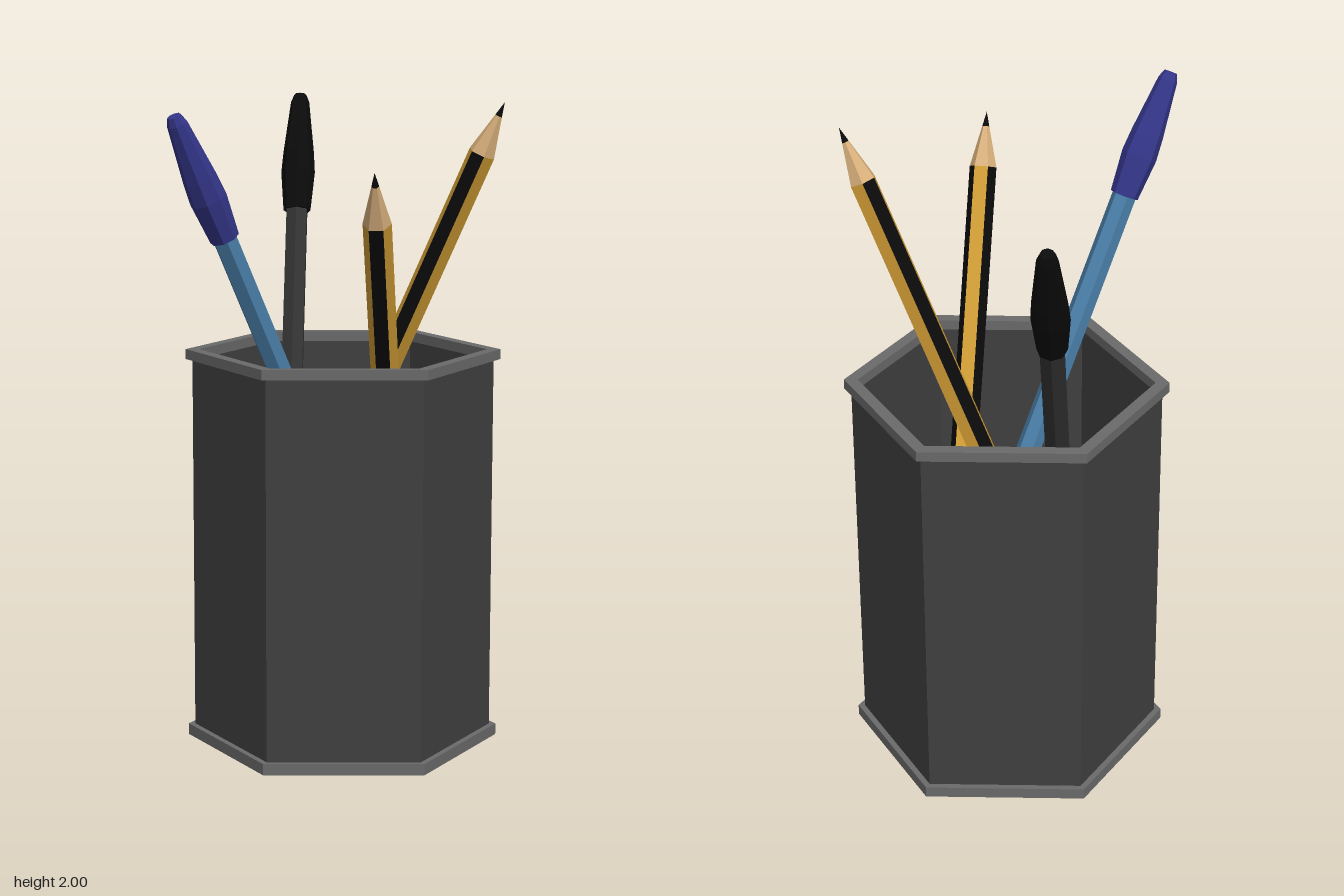
import * as THREE from 'three';

const mat = (name, color) => {
  const m = new THREE.MeshStandardMaterial({ color, flatShading: true });
  m.name = name;
  return m;
};
const V = (x, y, z) => new THREE.Vector3(x, y, z);

export function createModel() {
  const cupGrey = mat('cup grey', 0x404040);
  const rimGrey = mat('rim grey', 0x6a6a6a);
  const gold = mat('pencil gold', 0xd49f36);
  const black = mat('black', 0x0b0b0b);
  const wood = mat('bare wood', 0xd8b07c);
  const paleBlue = mat('pen blue', 0x4a7fa8);
  const darkBlue = mat('cap blue', 0x34368a);
  const charcoal = mat('pen charcoal', 0x333333);

  const model = new THREE.Group();
  model.name = 'penHolder';

  const add = (parent, name, geometry, material, y = 0) => {
    const mesh = new THREE.Mesh(geometry, material);
    mesh.name = name;
    mesh.position.y = y;
    parent.add(mesh);
  };
  const lathe = (points, sides, start) =>
    new THREE.LatheGeometry(points.map(([r, y]) => new THREE.Vector2(r, y)), sides, start);

  // Hexagonal cup, slightly turned about its own axis
  const cup = new THREE.Group();
  cup.name = 'cup';
  cup.position.set(0.026, 0, -0.153);
  const turn = THREE.MathUtils.degToRad(5.6);
  const hex = (points) => lathe(points, 6, turn);
  add(cup, 'cupBody', hex([[0.466, 0.03], [0.466, 1.215], [0.446, 1.215], [0.446, 0.045], [0, 0.045]]), cupGrey);
  add(cup, 'basePlate', hex([[0, 0], [0.487, 0], [0.487, 0.035], [0, 0.035]]), rimGrey);
  add(cup, 'topRim', hex([[0.445, 1.205], [0.487, 1.205], [0.487, 1.236], [0.445, 1.236], [0.445, 1.205]]), rimGrey);
  model.add(cup);

  // Group whose y axis runs from base to tip; +z faces upward before the roll
  function leaning(name, base, tip, roll) {
    const group = new THREE.Group();
    group.name = name;
    const y = tip.clone().sub(base).normalize();
    const z = V(0, 1, 0).addScaledVector(y, -y.y).normalize();
    const x = y.clone().cross(z);
    group.quaternion.setFromRotationMatrix(new THREE.Matrix4().makeBasis(x, y, z));
    group.rotateY(roll);
    group.position.copy(base);
    model.add(group);
    return { group, length: tip.distanceTo(base) };
  }

  // Striped hexagonal pencil with a sharpened end
  function pencil(name, base, tip, roll) {
    const { group, length } = leaning(name, base, tip, roll);
    const r = 0.042, wr = 0.011, start = -Math.PI / 6;
    const woodLength = 0.125, leadLength = 0.045;
    const shaft = length - woodLength - leadLength;
    const body = new THREE.CylinderGeometry(r, r, shaft, 6, 1, true, start);
    body.clearGroups();
    for (let i = 0; i < 6; i++) body.addGroup(i * 6, 6, i % 2);
    add(group, 'stripedShaft', body, [gold, black], shaft / 2);
    add(group, 'pencilEnd', lathe([[0, 0], [r, 0]], 6, start), gold);
    add(group, 'sharpenedWood', new THREE.CylinderGeometry(wr, r, woodLength, 6, 1, true, start), wood, shaft + woodLength / 2);
    add(group, 'lead', new THREE.ConeGeometry(wr, leadLength, 6, 1, true, start), black, length - leadLength / 2);
  }

  // Hexagonal pen with a bulging cap
  function pen(name, base, tip, barrelMaterial, capMaterial) {
    const { group, length } = leaning(name, base, tip, 0);
    const capBase = length - 0.4;
    add(group, 'barrel', lathe([[0, 0], [0.03, 0], [0.038, 0.03], [0.038, capBase + 0.05]], 6, 0), barrelMaterial);
    add(group, 'cap', lathe([[0, 0], [0.044, 0], [0.055, 0.13], [0.05, 0.2], [0.03, 0.375], [0.02, 0.4], [0, 0.4]], 8, 0), capMaterial, capBase);
  }

  // Gold face upward on one pencil, an edge upward on the other
  const tipA = V(0.485, 2, -0.338), baseA = V(-0.34, 0.14, -0.15);
  const side = V(0, 1, 0).cross(tipA.clone().sub(baseA)).z;
  pencil('longPencil', baseA, tipA, -Math.sign(side) * -1 * Math.PI / 6 * -1 * -1 * -1);
  pencil('frontPencil', V(0.03, 0.06, -0.485), V(0.465, 1.83, 0.325), 0);

  pen('blackPen', V(-0.06, 0.22, 0.045), V(-0.47, 1.985, -0.615), charcoal, black);
  pen('bluePen', V(0.175, 0.28, -0.235), V(-0.02, 1.985, 0.615), paleBlue, darkBlue);

  return model;
}
